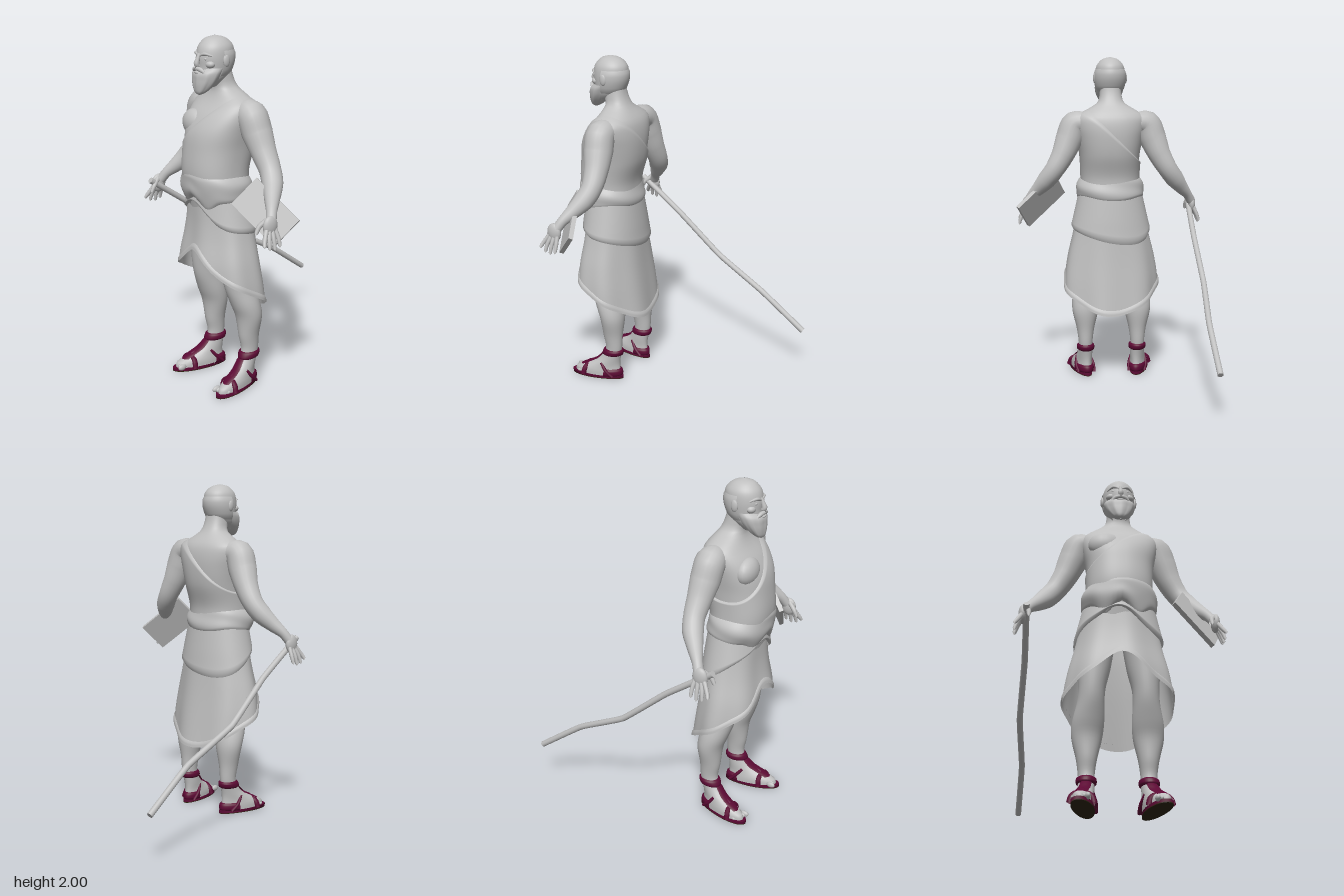
import * as THREE from 'three';

const PI = Math.PI;
const V = (x, y, z) => new THREE.Vector3(x, y, z);
const lerp = THREE.MathUtils.lerp, clamp = THREE.MathUtils.clamp;
const bump = (a, w) => Math.exp(-((a / w) ** 2));

// Cross-sections, each [y, centre x, centre z, half width, half depth]
const TORSO = [
  [1.05, 0, .43, .18, .15], [1.25, 0, .455, .175, .16], [1.4, 0, .43, .183, .175], [1.5, 0, .415, .2, .172],
  [1.58, 0, .395, .213, .15], [1.64, 0, .378, .205, .118], [1.68, 0, .38, .15, .092], [1.72, 0, .39, .085, .072],
  [1.78, 0, .41, .067, .066], [1.86, 0, .425, .063, .066]];
const HEAD = [
  [1.73, 0, .49, .04, .04], [1.78, 0, .462, .074, .085], [1.84, 0, .447, .088, .1], [1.89, 0, .442, .092, .107],
  [1.94, 0, .438, .086, .1], [1.97, 0, .438, .067, .078], [1.99, 0, .44, .04, .047], [2, 0, .44, .002, .002]];
const BEARD = [
  [1.69, 0, .55, .004, .004], [1.7, 0, .545, .03, .022], [1.73, 0, .528, .058, .045], [1.77, 0, .508, .08, .065],
  [1.81, 0, .49, .09, .077], [1.835, 0, .468, .088, .07]];
const LEG = [
  [.012, .165, .465, .056, .15], [.05, .165, .46, .056, .142], [.08, .165, .43, .05, .108], [.12, .165, .39, .046, .07],
  [.2, .165, .357, .043, .053], [.3, .165, .36, .055, .062], [.42, .165, .36, .082, .075], [.5, .16, .38, .086, .085],
  [.6, .15, .41, .074, .09], [.68, .145, .425, .073, .09], [.8, .135, .42, .09, .105], [1.05, .1, .42, .095, .12]];
const SKIRT = [
  [.38, 0, .415, .3, .215], [.6, 0, .43, .3, .2], [.75, 0, .437, .28, .188], [.9, 0, .432, .245, .168],
  [1.0, 0, .43, .225, .16], [1.2, 0, .435, .19, .15]];
const SASH = [[1.04, 0, .43, .2, .16], [1.1, 0, .435, .208, .162], [1.18, 0, .45, .207, .17], [1.27, 0, .462, .182, .168]];

// Smooth interpolation between cross-sections
function sectionAt(R, y) {
  let k = 0;
  while (k < R.length - 2 && y > R[k + 1][0]) k++;
  const h = R[k + 1][0] - R[k][0], t = clamp((y - R[k][0]) / h, 0, 1);
  const slope = (i, c) => {
    const a = R[Math.max(i - 1, 0)], b = R[Math.min(i + 1, R.length - 1)];
    return (b[c] - a[c]) / (b[0] - a[0]) * h;
  };
  return [1, 2, 3, 4].map(c => {
    const p = R[k][c], q = R[k + 1][c], m = slope(k, c), n = slope(k + 1, c);
    return p + t * (m + t * (3 * (q - p) - 2 * m - n + t * (2 * (p - q) + m + n)));
  });
}
// Point on a body, angle 0 at the front and growing toward +x
function surf(R, y, a, off = 0, p = 2) {
  const [cx, cz, rx, rz] = sectionAt(R, y), s = Math.sin(a), c = Math.cos(a), e = 2 / p;
  return V(cx + (rx + off) * Math.sign(s) * Math.abs(s) ** e, y, cz + (rz + off) * Math.sign(c) * Math.abs(c) ** e);
}
// Feet turn out a little; side is 1 or -1
function turnOut(p, side) {
  p.x = side * (p.x + .2 * (p.z - .36) * clamp((.2 - p.y) / .1, 0, 1));
  return p;
}
// Sheet around a body from fn(angle, v)
function sheet(nu, nv, fn, a0 = -PI, a1 = PI, flip = false) {
  const closed = a1 - a0 > 6.28, cols = closed ? nu : nu + 1, pos = [], idx = [];
  for (let j = 0; j <= nv; j++) for (let i = 0; i < cols; i++) pos.push(...fn(lerp(a0, a1, i / nu), j / nv).toArray());
  for (let j = 0; j < nv; j++) for (let i = 0; i < nu; i++) {
    const n = (i + 1) % cols, a = j * cols + i, b = j * cols + n, c = a + cols, d = b + cols;
    idx.push(...(flip ? [a, d, b, a, c, d] : [a, b, d, a, d, c]));
  }
  const g = new THREE.BufferGeometry();
  g.setAttribute('position', new THREE.Float32BufferAttribute(pos, 3));
  g.setIndex(idx);
  g.computeVertexNormals();
  return g;
}
// Tube with a changing radius; points are [x, y, z, radius]
function limb(pts, seg = 24, sides = 16, tension = .5) {
  const curve = new THREE.CatmullRomCurve3(pts.map(p => V(p[0], p[1], p[2])), false, 'catmullrom', tension);
  const g = new THREE.TubeGeometry(curve, seg, 1, sides), P = g.attributes.position, q = V();
  for (let i = 0; i <= seg; i++) {
    const c = curve.getPointAt(i / seg), t = curve.getUtoTmapping(i / seg) * (pts.length - 1);
    const k = Math.min(Math.floor(t), pts.length - 2), r = lerp(pts[k][3], pts[k + 1][3], t - k);
    for (let j = 0; j <= sides; j++) {
      const n = i * (sides + 1) + j;
      q.fromBufferAttribute(P, n).sub(c).multiplyScalar(r).add(c);
      P.setXYZ(n, q.x, q.y, q.z);
    }
  }
  return g;
}
const blob = (x, y, z, a, b, c) => new THREE.SphereGeometry(1, 20, 14).scale(a, b, c).translate(x, y, z);

export function createModel() {
  const model = new THREE.Group();
  const mat = (name, color) => new THREE.MeshStandardMaterial({ name, color, side: THREE.DoubleSide });
  const stone = mat('pale grey', 0xc0c0c0), leather = mat('maroon leather', 0x5c0a34), tread = mat('dark sole', 0x2e2510);
  const add = (name, geo, m = stone) => {
    const mesh = new THREE.Mesh(geo, m);
    mesh.name = name;
    model.add(mesh);
    return mesh;
  };

  // Torso and neck
  add('torso', sheet(48, 40, (a, v) => surf(TORSO, lerp(1.05, 1.86, v), a, 0, 2.35)));
  add('chest', blob(-.085, 1.52, .52, .095, .08, .06));

  // Head with face, ears and hair
  add('head', sheet(36, 32, (a, v) => surf(HEAD, lerp(1.73, 2, Math.sin(v * PI / 2)), a)));
  add('beard', sheet(30, 20, (a, v) => surf(BEARD, lerp(1.69, 1.835, v), a, .003 * Math.sin(9 * a) * Math.sin(v * PI))));
  add('hair', sheet(30, 8, (a, v) => surf(HEAD, lerp(1.79, 1.925, v), a, .009 * Math.sin(v * PI) ** .4), 1.5, 2 * PI - 1.5));
  add('nose', limb([[0, 1.91, .542, .009], [0, 1.885, .553, .012], [0, 1.86, .562, .017], [0, 1.848, .556, .012], [0, 1.845, .545, .002]], 12, 10));
  add('lip', blob(0, 1.812, .56, .022, .008, .012));
  for (const s of [-1, 1]) {
    add('brow', limb([[s * .008, 1.9, .545, .006], [s * .04, 1.911, .537, .01], [s * .072, 1.9, .51, .004]], 10, 8));
    add('eye', blob(s * .036, 1.884, .532, .014, .009, .008));
    add('cheek', blob(s * .05, 1.855, .51, .03, .022, .026));
    add('moustache', limb([[0, 1.833, .563, .011], [s * .03, 1.826, .555, .013], [s * .058, 1.8, .538, .004]], 10, 10));
    add('ear', blob(s * .094, 1.872, .435, .012, .034, .021));
  }

  // Draped tunic, cut along a diagonal over the left shoulder
  const tunicTop = a => {
    let lo = 1.2, hi = 1.74;
    for (let i = 0; i < 20; i++) {
      const y = (lo + hi) / 2;
      if (1.535 + .93 * surf(TORSO, y, a, .01, 2.35).x > y) lo = y; else hi = y;
    }
    return lo;
  };
  add('tunic', sheet(72, 24, (a, v) => surf(TORSO, lerp(1.2, tunicTop(a), v), a, v === 1 ? 0 : .011, 2.35)));

  // Sash around the waist
  add('sash', sheet(64, 14, (a, v) => {
    const low = 1.13 - .07 * bump(Math.abs(a) - .42, .3) + .012 * Math.cos(3 * a);
    return surf(SASH, lerp(low, 1.262, v), a, .014 * Math.sin(v * PI) ** .5 + .004 * Math.sin(7 * v + 2 * a) - .006, 2.2);
  }));

  // Skirt with a raised front opening and a long back, and its upper fold
  const hem = a => .59 + .125 * Math.cos(a) - (Math.cos(a) < 0 ? .055 * Math.cos(a) ** 4 : 0) + .11 * bump(a, .45);
  add('skirt', sheet(72, 24, (a, v) => {
    const y = lerp(hem(a), 1.18, v);
    return surf(SKIRT, y, a, .007 * (1 - v) * Math.sin(7 * a) - .004, 2.1);
  }));
  add('skirtHem', sheet(72, 3, (a, v) => surf(SKIRT, lerp(hem(a), hem(a) + .035, v), a, .007 * Math.sin(7 * a) + (v === 1 ? -.004 : .003), 2.1)));
  add('skirtFold', sheet(72, 12, (a, v) => {
    const low = .94 + .08 * Math.cos(a) - .05 * Math.sin(a) * Math.cos(a) + .08 * bump(a, .5);
    return surf(SKIRT, lerp(low, 1.16, v), a, v === 0 ? 0 : .012 * (1 - v) + .003, 2.1);
  }));

  for (const s of [-1, 1]) {
    const side = s > 0 ? 'left' : 'right', flip = s < 0;
    const m = pts => pts.map(p => [s * p[0], ...p.slice(1)]);
    // Arm
    add(side + 'Arm', limb(m([[.15, 1.6, .365, .06], [.222, 1.588, .37, .086], [.26, 1.5, .362, .084], [.3, 1.405, .352, .07],
      [.352, 1.315, .35, .06], [.4, 1.25, .372, .058], [.45, 1.19, .415, .043], [.495, 1.14, .455, .029], [.522, 1.095, .48, .028]]), 40, 20));
    // Hand
    add(side + 'Palm', blob(s * .53, 1.075, .493, .024, .055, .045));
    for (let k = 0; k < 4; k++) {
      const tip = [.968, .958, .964, .985][k];
      add(side + 'Finger', limb(m([[.535, 1.06, .468 + .018 * k, .013], [.558, 1.01, .462 + .03 * k, .012],
        [.572, tip, .462 + .034 * k, .009], [.573, tip - .006, .462 + .034 * k, .001]]), 10, 8));
    }
    add(side + 'Thumb', limb(m([[.518, 1.105, .505, .015], [.5, 1.075, .54, .014], [.498, 1.04, .56, .01], [.498, 1.03, .563, .001]]), 10, 8));

    // Leg and foot
    const skin = (y, a, off) => turnOut(surf(LEG, y, a, off), s);
    const strap = (name, y0, y1, a0, a1) => add(side + name,
      sheet(28, 6, (a, v) => skin(lerp(y0, y1, v), a, .013 * Math.sin(v * PI) ** .3), a0, a1, flip), leather);
    add(side + 'Leg', sheet(28, 50, (a, v) => skin(lerp(.012, 1.05, v ** 1.2), a, 0), -PI, PI, flip));
    for (let k = 0; k < 5; k++) {
      const r = .018 - .0025 * k, c = turnOut(V(.125 + .021 * k, .03, .6 - .008 * k), s);
      add(side + 'Toe', blob(c.x, c.y, c.z, r * .75, r, r * 1.5));
    }

    // Sandal
    strap('AnkleStrap', .16, .203, -PI, PI);
    strap('HeelStrap', .015, .065, 2, 2 * PI - 2);
    strap('Tongue', .065, .17, -.55, .55);
    const band = (name, pts, r) => add(side + name, limb(pts.map(p => {
      const q = turnOut(V(...p), s);
      return [q.x, q.y, q.z, r];
    }), 16, 8), leather);
    band('ToeStrap', [[.103, .015, .53], [.118, .055, .525], [.165, .075, .52], [.212, .055, .525], [.227, .015, .53]], .016);
    band('InstepStrap', [[.165, .08, .515], [.165, .098, .475], [.165, .12, .435]], .018);
    for (const e of [-1, 1]) band('SideStrap', [[.165 + e * .05, .02, .345], [.165 + e * .054, .06, .385], [.165 + e * .04, .105, .42]], .01);
    const plate = (y, h) => {
      const g = new THREE.CylinderGeometry(1, 1, h, 36), P = g.attributes.position;
      for (let i = 0; i < P.count; i++) {
        const z = P.getZ(i), q = turnOut(V(.165 + P.getX(i) * s * (.058 + .007 * z), 0, .466 + z * .166), s);
        P.setXYZ(i, q.x, P.getY(i) + y, q.z);
      }
      return g;
    };
    add(side + 'Sole', plate(.012, .016), leather);
    add(side + 'Tread', plate(.002, .004), tread);
  }

  // Walking staff in the right hand, with flat ends
  const path = [[-.512, 1.105, .56], [-.508, .9, .27], [-.521, .665, -.01], [-.496, .495, -.33], [-.505, .285, -.62]];
  add('staff', limb(path.map(p => [...p, .0175]), 40, 12, .15));
  for (const [k, n] of [[0, 1], [4, 3]]) {
    const end = add('staffEnd', new THREE.CircleGeometry(.0175, 12));
    end.position.set(...path[k]);
    end.lookAt(V(...path[k]).multiplyScalar(2).sub(V(...path[n])));
  }

  // Tablet in the left hand
  const u = V(-.23, .2, .1), w = V(.075, .125, -.125), n = u.clone().cross(w).normalize();
  const tablet = add('tablet', new THREE.BoxGeometry(u.length(), w.length(), .026));
  tablet.quaternion.setFromRotationMatrix(new THREE.Matrix4().makeBasis(u.normalize(), n.clone().cross(u), n));
  tablet.position.set(.435, 1.118, .448);
  return model;
}
